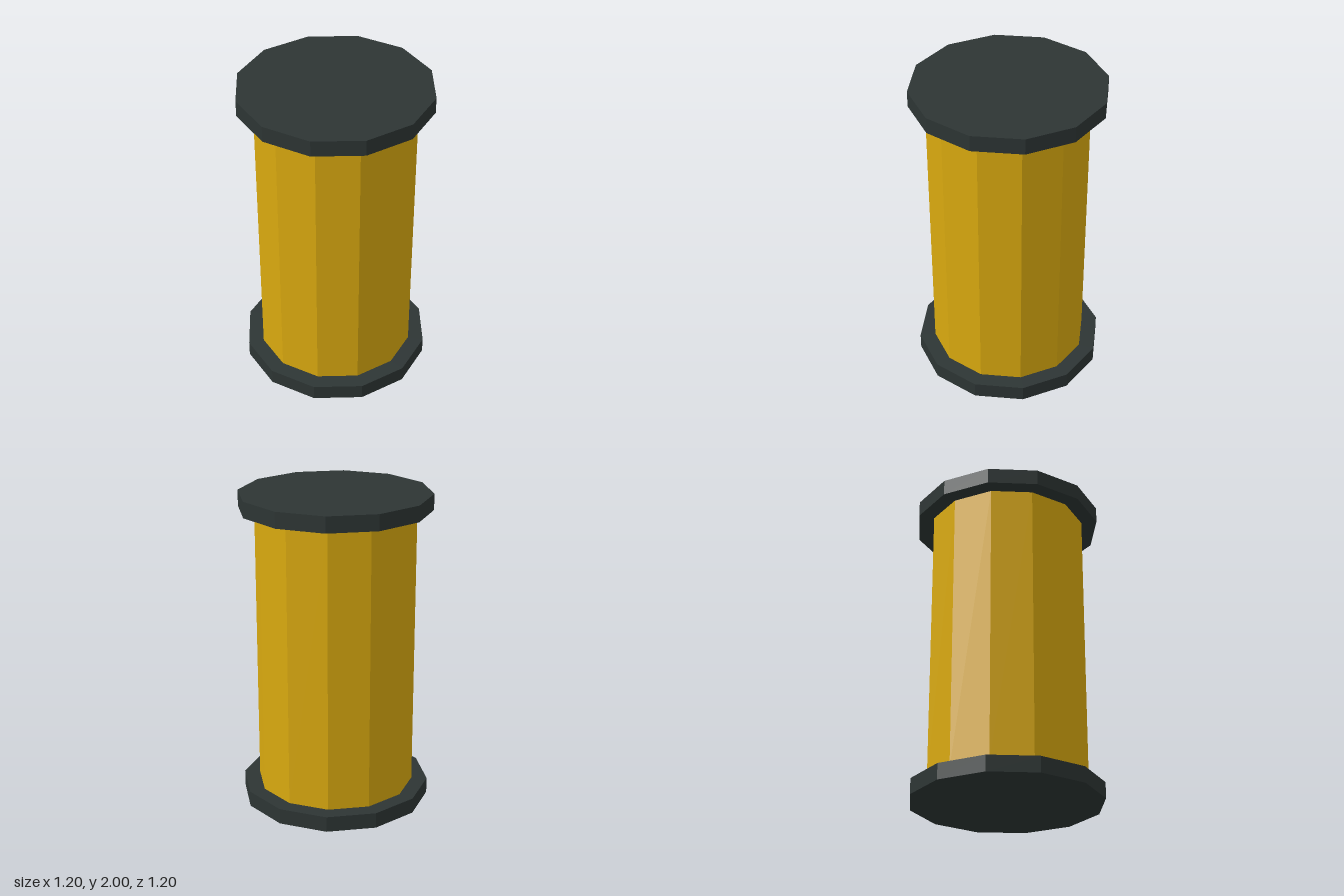
import * as THREE from 'three';

const SIDES = 12;

export function createModel() {
  const model = new THREE.Group();
  model.name = 'cappedCylinder';

  const gold = new THREE.MeshStandardMaterial({ color: 0xd9a90f, flatShading: true });
  gold.name = 'gold';
  const charcoal = new THREE.MeshStandardMaterial({ color: 0x2d3534, flatShading: true });
  charcoal.name = 'charcoal';

  // Adds an upright twelve-sided prism standing on the given height
  const addPrism = (name, radius, height, bottom, material) => {
    const mesh = new THREE.Mesh(new THREE.CylinderGeometry(radius, radius, height, SIDES), material);
    mesh.name = name;
    mesh.position.y = bottom + height / 2;
    model.add(mesh);
  };

  // Wide end caps around a narrower body
  addPrism('bottomCap', 0.6, 0.1, 0, charcoal);
  addPrism('body', 0.5, 1.8, 0.1, gold);
  addPrism('topCap', 0.6, 0.1, 1.9, charcoal);

  return model;
}
